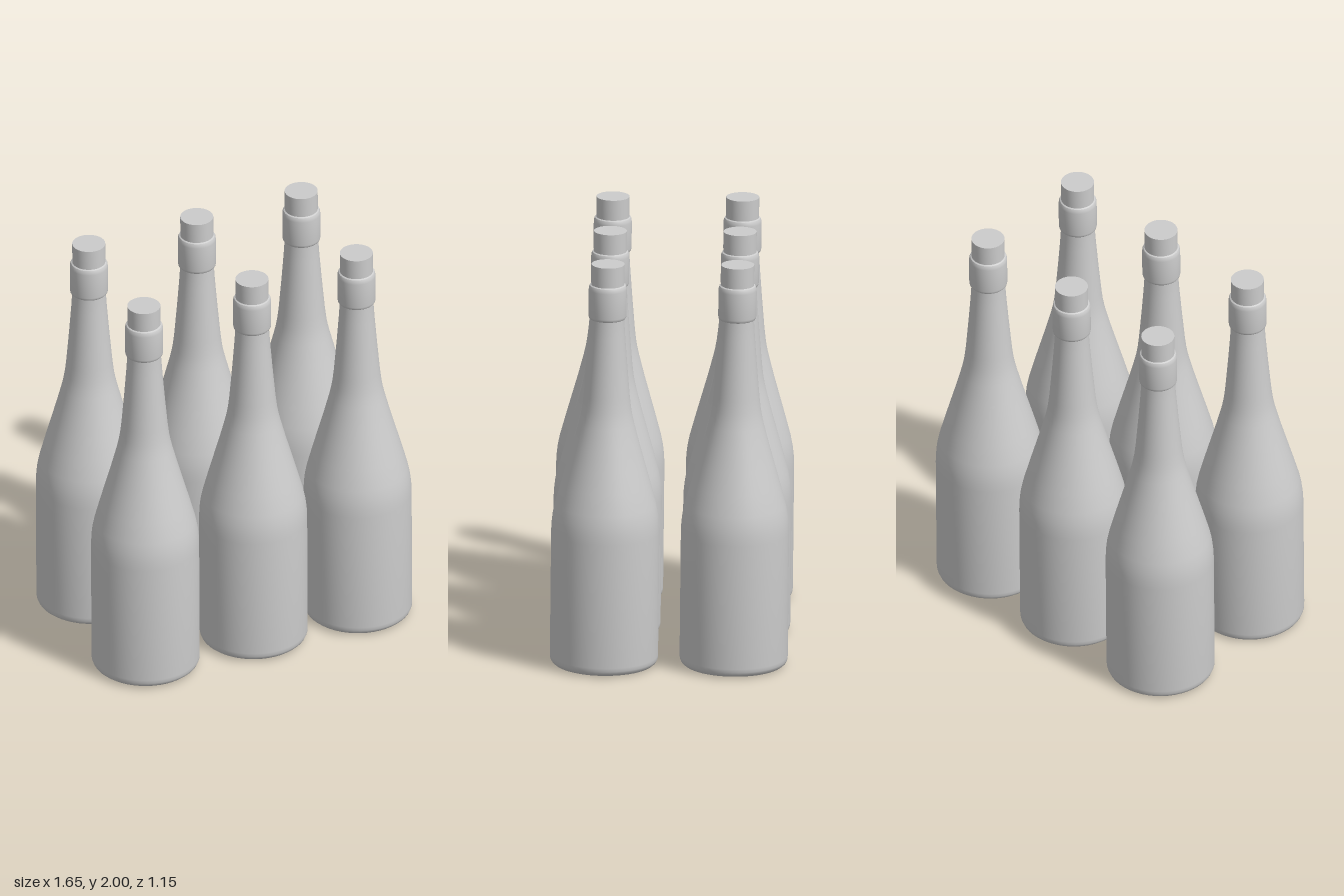
import * as THREE from 'three';
import { toCreasedNormals } from 'three/addons/utils/BufferGeometryUtils.js';

const material = new THREE.MeshStandardMaterial({ color: 0xcccccc });

// Revolves [radius, height] pairs, listed from bottom to top.
function revolve(profile) {
  const points = profile.map(([r, y]) => new THREE.Vector2(r, y));
  return toCreasedNormals(new THREE.LatheGeometry(points, 48), 0.6);
}

// Glass: flat base, rounded heel, straight wall, sloping shoulder, tapering neck.
const glassGeometry = revolve([
  [0, 0], [0.225, 0], [0.241, 0.004], [0.253, 0.014], [0.259, 0.028], [0.26, 0.045],
  [0.26, 0.66], [0.258, 0.705], [0.253, 0.75], [0.243, 0.8], [0.216, 0.9],
  [0.188, 1.0], [0.16, 1.1], [0.134, 1.2], [0.125, 1.24], [0.118, 1.28],
  [0.111, 1.34], [0.097, 1.5], [0.086, 1.64], [0.079, 1.75], [0.079, 1.8],
]);

// Collar: wide band with softened upper and lower rims.
const collarGeometry = revolve([
  [0.074, 1.728], [0.086, 1.728], [0.09, 1.733], [0.0915, 1.742], [0.0915, 1.872],
  [0.09, 1.885], [0.086, 1.894], [0.079, 1.898],
]);

// Stopper: plain cylinder rising out of the collar, closed on top.
const stopperGeometry = revolve([[0.0795, 1.87], [0.0795, 1.998], [0, 1.998]]);

function createBottle() {
  const bottle = new THREE.Group();
  const parts = { glass: glassGeometry, collar: collarGeometry, stopper: stopperGeometry };
  for (const [name, geometry] of Object.entries(parts)) {
    const mesh = new THREE.Mesh(geometry, material);
    mesh.name = name;
    bottle.add(mesh);
  }
  return bottle;
}

export function createModel() {
  const model = new THREE.Group();
  model.name = 'bottles';
  const columns = { Right: -0.564, Middle: 0.009, Left: 0.563 };
  const rows = { front: 0.315, back: -0.308 };
  for (const [row, z] of Object.entries(rows)) {
    for (const [column, x] of Object.entries(columns)) {
      const bottle = createBottle();
      bottle.name = `${row}${column}Bottle`;
      bottle.position.set(x, 0.002, z);
      bottle.rotation.x = -0.01; // every bottle leans back very slightly
      model.add(bottle);
    }
  }
  return model;
}
